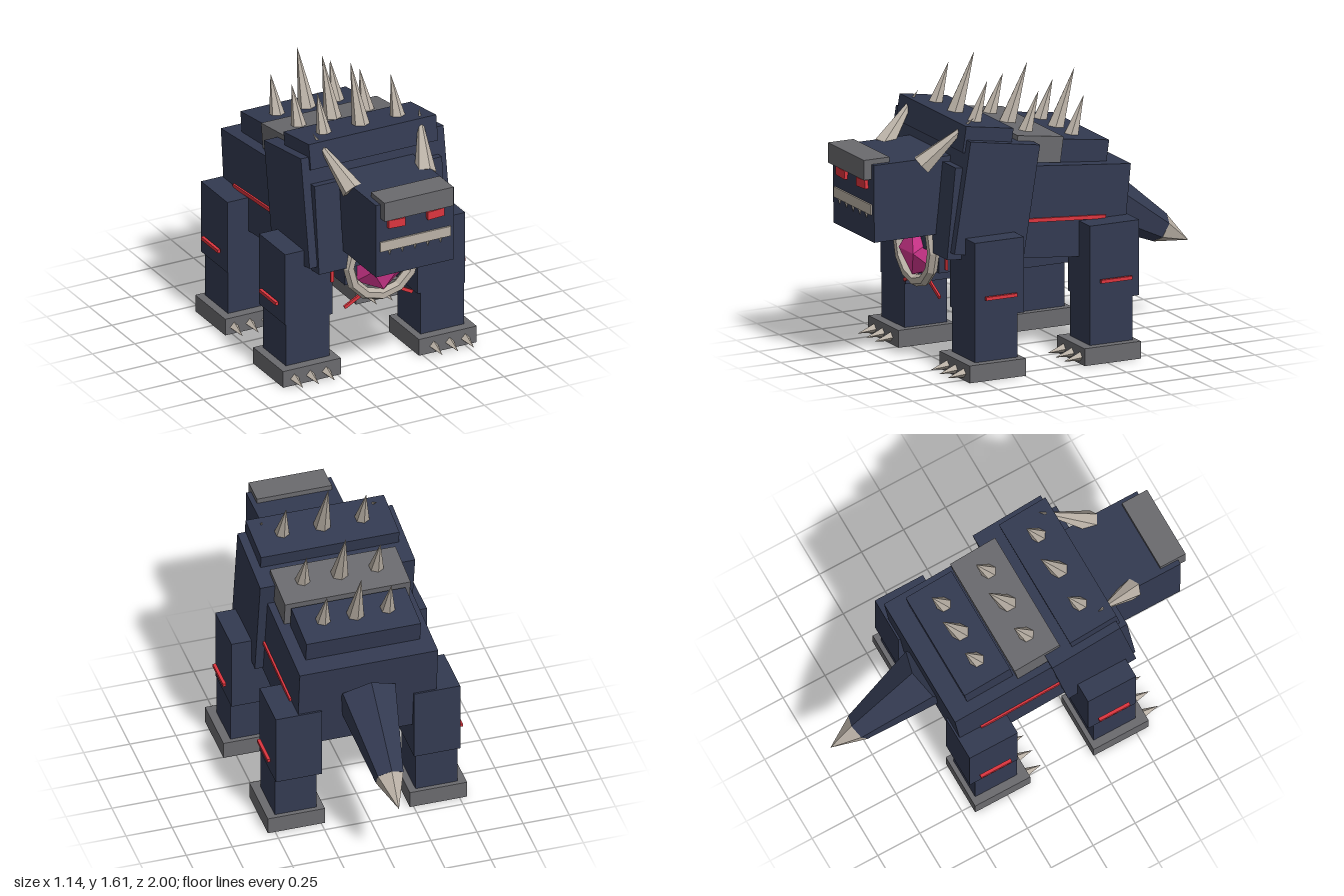
import * as THREE from 'three';

const mat = (name, color) => Object.assign(new THREE.MeshStandardMaterial({ color }), { name });

export function createModel() {
  const root = new THREE.Group();
  root.name = 'spikedBeast';
  const hide = mat('navy hide', 0x333a51);
  const plate = mat('grey plate', 0x6a6a6e);
  const bone = mat('bone', 0xbab1a6);
  const red = mat('red glow', 0xdd353e);
  const magenta = mat('magenta gem', 0xd93893);
  const UP = new THREE.Vector3(0, 1, 0);

  function add(name, geo, material) {
    const mesh = new THREE.Mesh(geo, material);
    mesh.name = name;
    root.add(mesh);
    return mesh;
  }
  // Facet a geometry so every face has its own normal
  function facet(geo) {
    const g = geo.toNonIndexed();
    g.computeVertexNormals();
    return g;
  }
  // Box by centre and size, pitched about x
  function box(name, material, [x, y, z], [w, h, d], pitch = 0) {
    const m = add(name, new THREE.BoxGeometry(w, h, d), material);
    m.position.set(x, y, z);
    m.rotation.x = pitch;
    return m;
  }
  // Box by minimum and maximum corners
  function span(name, material, a, b) {
    return box(name, material, a.map((v, i) => (v + b[i]) / 2), a.map((v, i) => b[i] - v));
  }
  // Tapered prism between two points
  function taper(name, material, from, to, r0, r1 = 0, sides = 6) {
    const a = new THREE.Vector3(...from), b = new THREE.Vector3(...to);
    const dir = b.clone().sub(a);
    const geo = facet(new THREE.CylinderGeometry(r1, r0, dir.length(), sides));
    const m = add(name, geo, material);
    m.position.copy(a).add(b).multiplyScalar(0.5);
    m.quaternion.setFromUnitVectors(UP, dir.normalize());
    return m;
  }

  // Torso
  box('body', hide, [0, 0.812, 0.067], [0.75, 0.49, 1.03], -0.1);
  box('chest', hide, [0, 0.92, 0.334], [0.84, 0.6, 0.41], -0.16);

  // Back plates with a row of three spikes each
  const rows = [
    { m: hide, c: [0, 1.231, 0.364], s: [0.75, 0.14, 0.28], p: -0.155, x: 0.217, base: [1.28, 0.368], tip: [1.61, 0.25] },
    { m: plate, c: [0, 1.137, 0.048], s: [0.68, 0.14, 0.27], p: -0.14, x: 0.2, base: [1.19, 0.06], tip: [1.515, -0.06] },
    { m: hide, c: [0, 1.082, -0.232], s: [0.62, 0.13, 0.275], p: -0.138, x: 0.175, base: [1.13, -0.222], tip: [1.45, -0.335] },
  ];
  for (const { m, c, s, p, x, base, tip } of rows) {
    box('backPlate', m, c, s, p);
    for (const i of [-1, 0, 1]) {
      const k = i ? 0.68 : 1;
      taper('backSpike', bone, [i * x, ...base],
        [i * x, base[0] + (tip[0] - base[0]) * k, base[1] + (tip[1] - base[1]) * k], i ? 0.044 : 0.05);
    }
  }

  // Head
  span('head', hide, [-0.23, 0.83, 0.45], [0.23, 1.135, 0.955]);
  span('jaw', hide, [-0.228, 0.72, 0.5], [0.228, 0.83, 0.953]);
  span('brow', plate, [-0.203, 1.055, 0.85], [0.203, 1.162, 1.0]);
  span('mouth', bone, [-0.207, 0.865, 0.94], [0.207, 0.92, 0.965]);
  for (let i = -2; i <= 2; i++) {
    taper('tooth', bone, [i * 0.075, 0.868, 0.957], [i * 0.075, 0.835, 0.957], 0.012, 0, 4);
  }

  // Gem, its ring and its mount
  span('gemMount', hide, [-0.2, 0.5, 0.45], [0.2, 0.73, 0.56]);
  const gem = add('gem', new THREE.IcosahedronGeometry(0.155), magenta);
  gem.position.set(0, 0.587, 0.555);
  gem.rotation.z = Math.PI / 2;
  gem.scale.x = 1;
  gem.scale.z = 0.72;
  const ring = add('gemRing', facet(new THREE.TorusGeometry(0.193, 0.032, 6, 12)), bone);
  ring.position.set(0, 0.612, 0.59);

  // Tail
  taper('tail', hide, [0, 0.77, -0.428], [0, 0.527, -0.834], 0.165, 0.08);
  taper('tailTip', bone, [0, 0.527, -0.834], [0, 0.44, -1.0], 0.08);

  // Paired parts
  for (const s of [-1, 1]) {
    const eye = box('eye', red, [s * 0.115, 1.016, 0.96], [0.098, 0.045, 0.03]);
    eye.rotation.z = s * 0.05;
    taper('horn', bone, [s * 0.215, 1.1, 0.67], [s * 0.315, 1.345, 0.415], 0.058);
    box('sideStripe', red, [s * 0.377, 0.758, -0.08], [0.018, 0.02, 0.48], -0.073);
    box('chestBar', red, [s * 0.272, 0.575, 0.555], [0.018, 0.08, 0.012]);
    const strut = box('chestStrut', red, [s * 0.14, 0.402, 0.555], [0.135, 0.018, 0.012]);
    strut.rotation.z = -s * 0.49;

    // Legs: inner and outer x of thigh, foot outer x, z offset from the front pair
    const legs = [
      { name: 'front', inner: 0.25, outer: 0.53, foot: 0.57, z: 0.378 },
      { name: 'hind', inner: 0.25, outer: 0.5, foot: 0.54, z: -0.31 },
    ];
    for (const { name, inner, outer, foot, z } of legs) {
      const bar = (part, m, x0, x1, y0, y1, z0, z1) =>
        box(name + part, m, [s * (x0 + x1) / 2, (y0 + y1) / 2, z + (z0 + z1) / 2], [x1 - x0, y1 - y0, z1 - z0]);
      bar('Thigh', hide, inner, outer, 0.33, 0.735, -0.143, 0.143);
      bar('Shin', hide, inner + 0.018, outer - 0.005, 0.08, 0.34, -0.108, 0.141);
      bar('Foot', plate, 0.23, foot, 0, 0.093, -0.133, 0.195);
      bar('LegStripe', red, outer + 0.012, outer + 0.03, 0.427, 0.445, -0.09, 0.092);
      for (const i of [-1, 0, 1]) {
        const x = s * ((0.23 + foot) / 2 + 0.01 + i * 0.093);
        taper(name + 'Claw', bone, [x, 0.042, z + 0.18], [x, 0.024, z + 0.29], 0.028, 0, 4);
      }
    }
  }
  return root;
}
